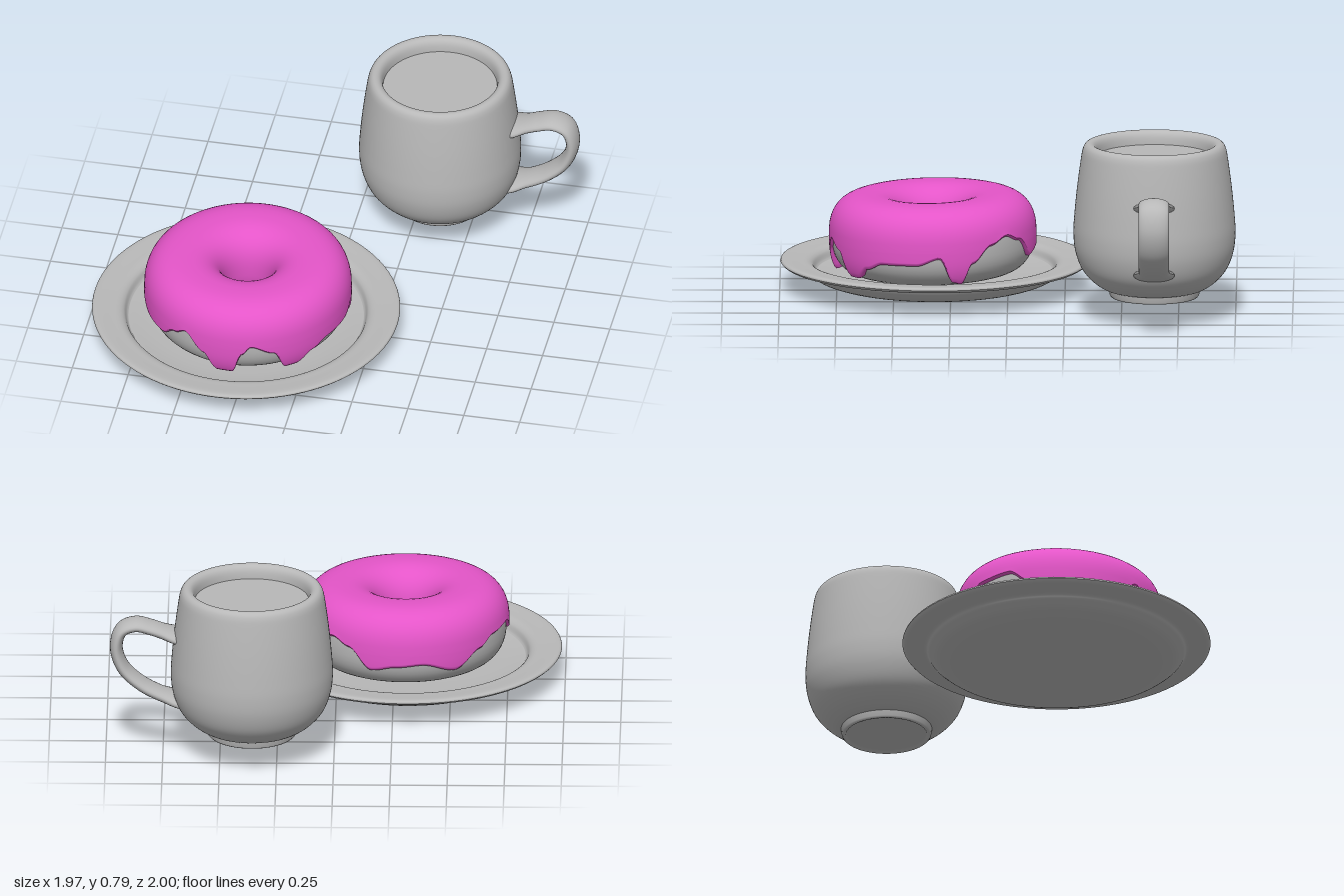
import * as THREE from 'three';

const grey = new THREE.MeshStandardMaterial({ color: 0xb8b8b8 });
grey.name = 'stoneware grey';
const pink = new THREE.MeshStandardMaterial({ color: 0xe455c8 });
pink.name = 'icing pink';

function mesh(name, geometry, material) {
  const m = new THREE.Mesh(geometry, material);
  m.name = name;
  return m;
}

// Smooth lathe through a few [radius, height] points
function turned(name, points, samples = 60) {
  const curve = new THREE.SplineCurve(points.map(([r, y]) => new THREE.Vector2(r, y)));
  const profile = curve.getPoints(samples).map((p) => p.set(Math.max(p.x, 0), p.y));
  return mesh(name, new THREE.LatheGeometry(profile, 96), grey);
}

// Ring cross-section shared by the dough and the icing
const RING = 0.28, MID = 0.25;
const spow = (v, e) => Math.sign(v) * Math.abs(v) ** e;
function ringPoint(t, halfWidth, halfHeight) {
  const e = 2 / 2.5;
  return [RING + halfWidth * spow(Math.cos(t), e), MID + halfHeight * spow(Math.sin(t), e)];
}

// Height of the icing's dripping edge around the ring: [degrees from +x towards +z, y]
const drips = [
  [-180, 0.23], [-167, 0.29], [-148, 0.28], [-137, 0.24], [-120, 0.17], [-100, 0.21],
  [-85, 0.2], [-71, 0.18], [-57, 0.27], [-46, 0.3], [-35, 0.27], [-23, 0.2], [-17, 0.11],
  [-12, 0.12], [-4, 0.23], [9, 0.2], [29, 0.2], [40, 0.17], [49, 0.12], [56, 0.12],
  [64, 0.22], [77, 0.26], [82, 0.22], [88, 0.11], [97, 0.11], [104, 0.2], [116, 0.28],
  [124, 0.25], [135, 0.2], [150, 0.2], [165, 0.22], [180, 0.23],
];
function dripHeight(deg) {
  const i = Math.max(1, drips.findIndex(([d]) => d >= deg));
  const [d0, y0] = drips[i - 1], [d1, y1] = drips[i];
  return THREE.MathUtils.lerp(y0, y1, THREE.MathUtils.smoothstep(deg, d0, d1));
}

// Icing section: up out of the hole, over the top, down to the drip and back under
function icingSection(edge) {
  const pts = [];
  for (let k = 0; k <= 28; k++) {
    pts.push(ringPoint(Math.PI * 1.15 * (1 - k / 28), 0.175, 0.183));
  }
  const side = (y) => 0.455 - 0.05 * Math.max(0, (MID - y) / 0.183) ** 3;
  if (edge > MID - 0.005) {
    // Trim the shoulder where the icing stops above the middle
    for (const p of pts) if (p[0] > RING && p[1] < edge) p[1] = edge;
  }
  const start = Math.max(MID, edge);
  for (let k = 1; k <= 10; k++) {
    const y = THREE.MathUtils.lerp(start, edge, k / 10);
    pts.push([edge > MID ? pts[28][0] : side(y), y]);
  }
  const r = pts[pts.length - 1][0];
  pts.push([r - 0.008, edge - 0.009], [r - 0.02, edge - 0.008], [r - 0.06, edge + 0.012]);
  return pts;
}

function icingGeometry() {
  const around = 288, positions = [], index = [];
  let n = 0;
  for (let i = 0; i < around; i++) {
    const deg = -180 + (360 * i) / around;
    const a = THREE.MathUtils.degToRad(deg);
    const section = icingSection(dripHeight(deg));
    n = section.length;
    for (const [r, y] of section) positions.push(r * Math.cos(a), y, r * Math.sin(a));
  }
  for (let i = 0; i < around; i++) {
    const a = i * n, b = ((i + 1) % around) * n;
    for (let j = 0; j < n - 1; j++) {
      index.push(a + j, b + j, a + j + 1, b + j, b + j + 1, a + j + 1);
    }
  }
  const g = new THREE.BufferGeometry();
  g.setAttribute('position', new THREE.Float32BufferAttribute(positions, 3));
  g.setIndex(index);
  g.computeVertexNormals();
  return g;
}

function createPlate() {
  const plate = new THREE.Group();
  plate.name = 'plate';
  plate.add(
    turned('plateUnderside', [
      [0, 0.003], [0.25, 0.008], [0.42, 0.025], [0.51, 0.05], [0.555, 0.08],
      [0.575, 0.1], [0.62, 0.107], [0.66, 0.114], [0.675, 0.126],
    ]),
    turned('plateTop', [
      [0.675, 0.126], [0.67, 0.135], [0.65, 0.138], [0.6, 0.134], [0.56, 0.13],
      [0.535, 0.115], [0.52, 0.085], [0.5, 0.078], [0.4, 0.066], [0.2, 0.06], [0, 0.06],
    ], 90),
  );
  return plate;
}

function createDoughnut() {
  const doughnut = new THREE.Group();
  doughnut.name = 'doughnut';
  const loop = [];
  for (let k = 0; k <= 48; k++) {
    loop.push(new THREE.Vector2(...ringPoint(-Math.PI / 2 + (k / 48) * Math.PI * 2, 0.163, 0.17)));
  }
  doughnut.add(
    mesh('dough', new THREE.LatheGeometry(loop, 96), grey),
    mesh('icing', icingGeometry(), pink),
  );
  doughnut.rotation.x = 0.02; // sits with a slight lean
  return doughnut;
}

// Flat band handle: a planar tube widened in z, flaring where it joins the cup
function handleGeometry() {
  const path = new THREE.CatmullRomCurve3([
    [0.3, 0.555], [0.37, 0.575], [0.44, 0.6], [0.51, 0.615], [0.57, 0.59], [0.594, 0.51],
    [0.565, 0.415], [0.49, 0.34], [0.4, 0.29], [0.3, 0.255],
  ].map(([x, y]) => new THREE.Vector3(x, y, 0)));
  const g = new THREE.TubeGeometry(path, 80, 0.028, 24);
  g.scale(1, 1, 2.4);
  const p = g.attributes.position;
  for (let i = 0; i < p.count; i++) {
    const flare = 1 - THREE.MathUtils.smoothstep(p.getX(i), 0.33, 0.4);
    p.setZ(i, p.getZ(i) * (1 + 0.35 * flare));
  }
  return g;
}

function createCup() {
  const cup = new THREE.Group();
  cup.name = 'cup';
  const drink = mesh('drinkSurface', new THREE.CircleGeometry(0.256, 96), grey);
  drink.rotation.x = -Math.PI / 2;
  drink.position.y = 0.73;
  cup.add(
    turned('cupBody', [
      [0.19, 0.135], [0.225, 0.145], [0.275, 0.18], [0.32, 0.235], [0.347, 0.31],
      [0.355, 0.39], [0.35, 0.48], [0.338, 0.6], [0.322, 0.72], [0.313, 0.765],
      [0.3, 0.785], [0.283, 0.79], [0.266, 0.783], [0.255, 0.765], [0.25, 0.735], [0.25, 0.7],
    ], 100),
    mesh('cupFoot', new THREE.LatheGeometry(
      [[0, 0.118], [0.172, 0.118], [0.178, 0.107], [0.19, 0.105], [0.196, 0.112], [0.2, 0.142]]
        .map(([r, y]) => new THREE.Vector2(r, y)), 96), grey),
    drink,
    mesh('handle', handleGeometry(), grey),
  );
  return cup;
}

export function createModel() {
  const model = new THREE.Group();
  model.name = 'doughnutAndCup';
  const plate = createPlate(), doughnut = createDoughnut(), cup = createCup();
  plate.position.set(-0.31, 0, 0.322);
  doughnut.position.set(-0.3, 0, 0.325);
  cup.position.set(0.36, 0, -0.645);
  model.add(plate, doughnut, cup);
  return model;
}
